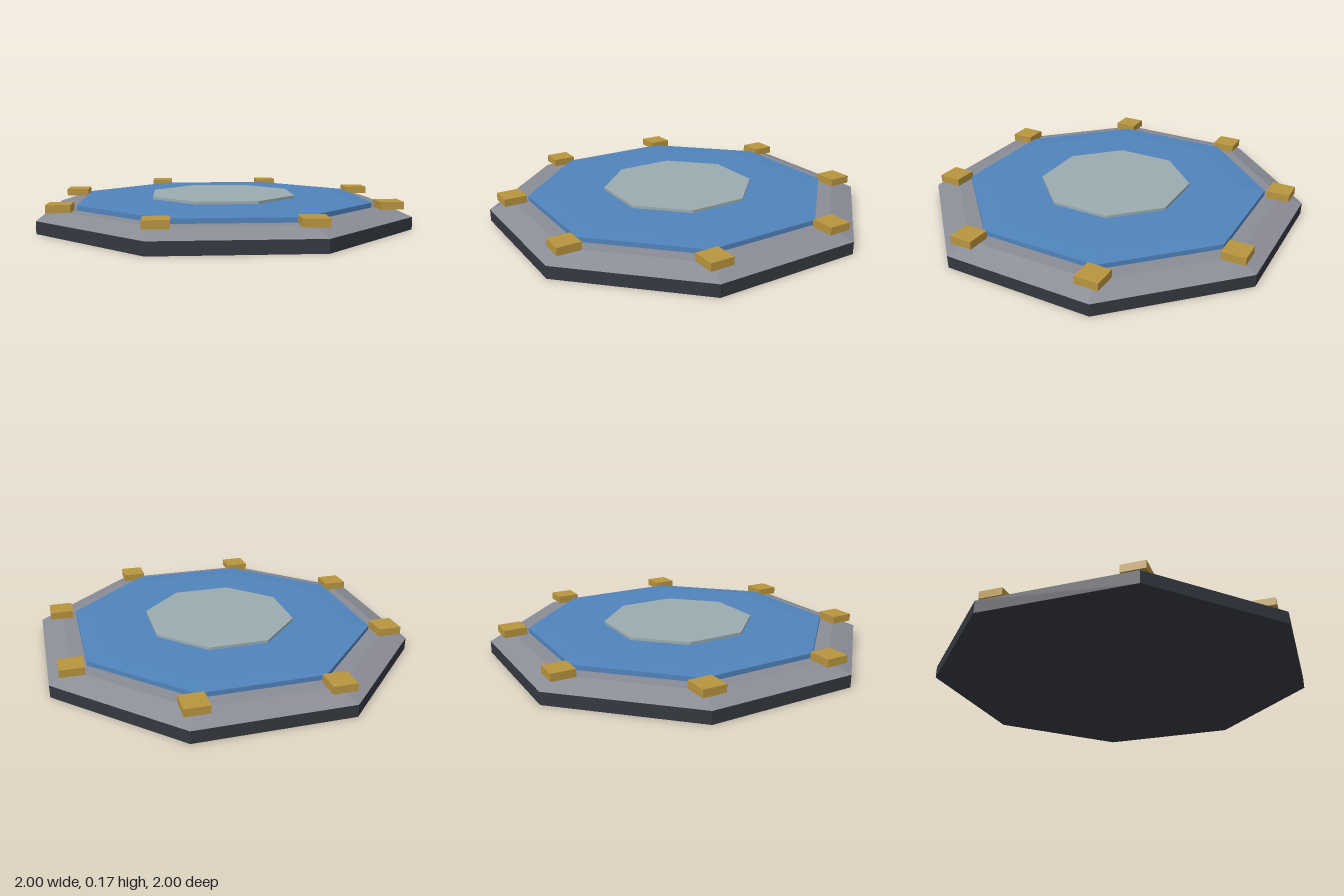
import * as THREE from 'three';

const SIDES = 8;
const CORNER = 1 / Math.cos(Math.PI / SIDES); // flat-side distance to corner radius

function material(color) {
  return new THREE.MeshStandardMaterial({ color, flatShading: true });
}

// Octagonal solid from a bottom-to-top profile of [distance to flat side, height]
function octagon(name, profile, color) {
  const points = profile.map(([r, y]) => new THREE.Vector2(r * CORNER, y));
  const geometry = new THREE.LatheGeometry(points, SIDES, Math.PI / SIDES);
  const mesh = new THREE.Mesh(geometry, material(color));
  mesh.name = name;
  return mesh;
}

export function createModel() {
  const model = new THREE.Group();
  model.name = 'octagonalPlatform';

  // Dark slab, then the bevelled grey rim on top of it
  model.add(octagon('baseSlab', [[0, 0], [1, 0], [1, 0.068]], 0x34383f));
  model.add(octagon('bevelledRim', [[1, 0.068], [0.88, 0.11], [0, 0.11]], 0x8a8c96));

  // Blue deck with a shallow sloping border
  model.add(octagon('deck', [[0.8, 0.11], [0.8, 0.136], [0.68, 0.145], [0, 0.145]], 0x5083bb));

  // Slightly domed centre plate
  model.add(octagon('centrePlate', [[0.4, 0.145], [0.4, 0.16], [0, 0.168]], 0x9aabb0));

  // One block at each corner, all square to the axes
  const blocks = new THREE.Group();
  blocks.name = 'cornerBlocks';
  const blockGeometry = new THREE.BoxGeometry(0.13, 0.042, 0.13);
  const blockMaterial = material(0xb8943f);
  for (let i = 0; i < SIDES; i++) {
    const angle = ((i + 0.5) / SIDES) * Math.PI * 2;
    const block = new THREE.Mesh(blockGeometry, blockMaterial);
    block.name = 'cornerBlock';
    block.position.set(Math.sin(angle) * 0.955, 0.132, Math.cos(angle) * 0.955);
    blocks.add(block);
  }
  model.add(blocks);

  return model;
}
